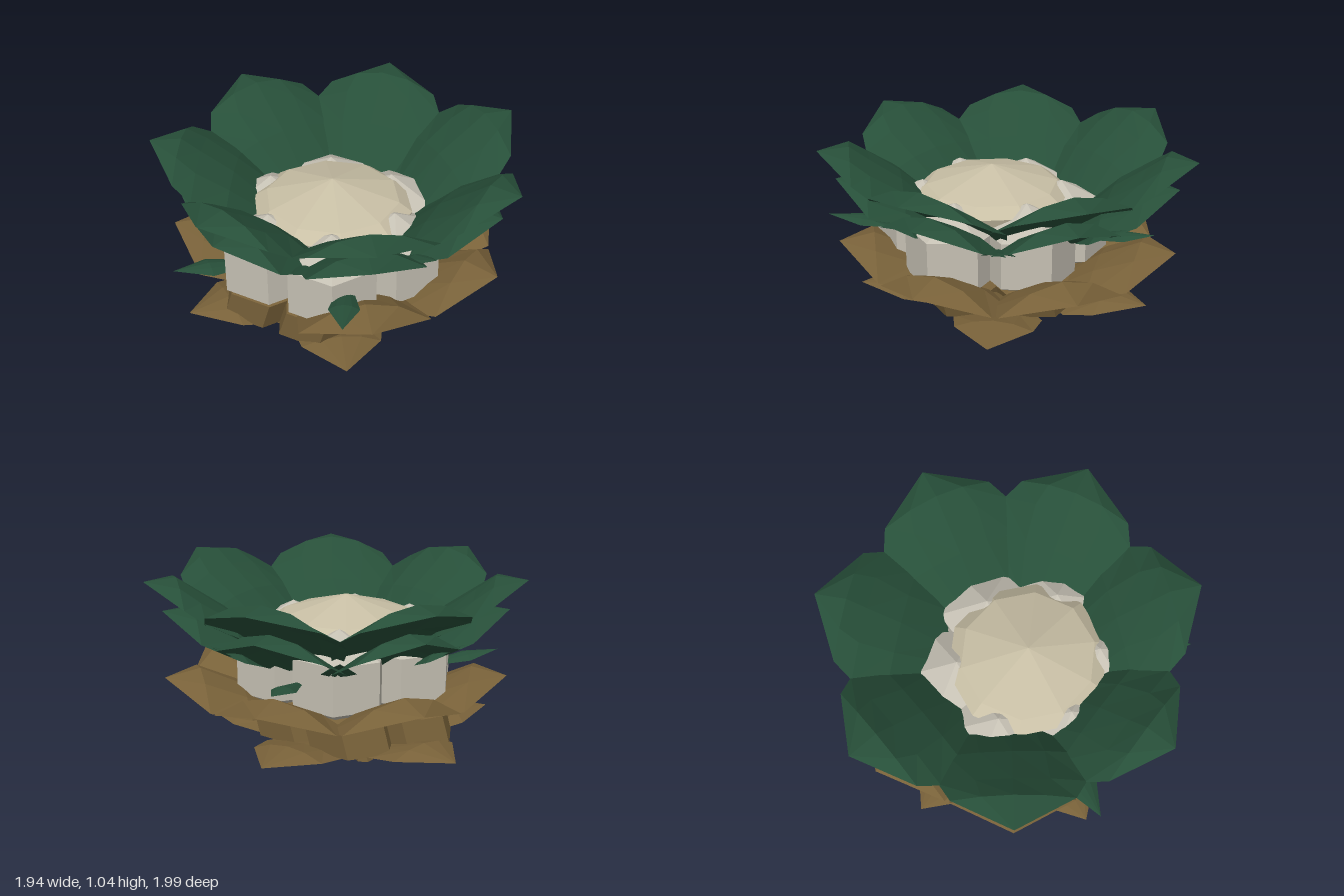
import * as THREE from 'three';

const paint = (color) => new THREE.MeshStandardMaterial({ color, flatShading: true, side: THREE.DoubleSide, roughness: 0.9 });
const GREEN = paint(0x274f39), CREAM = paint(0xc8bfa5), STONE = paint(0xc5c0b3);
const BROWN = paint(0x786139), STEM = paint(0x587a42);
const STEP = (Math.PI * 2) / 7;

// Petal pointing along +x; each row is [radius, height, half width, droop of the sides]
function petalGeometry(rows) {
  const cols = 4, pos = [], index = [];
  rows.forEach(([r, y, w, droop]) => {
    for (let i = 0; i <= cols; i++) {
      const t = (i / cols) * 2 - 1;
      pos.push(r, y - droop * t * t, w * t);
    }
  });
  for (let j = 0; j < rows.length - 1; j++) {
    for (let i = 0; i < cols; i++) {
      const a = j * (cols + 1) + i, b = a + cols + 1;
      index.push(a, a + 1, b, a + 1, b + 1, b);
    }
  }
  const g = new THREE.BufferGeometry();
  g.setAttribute('position', new THREE.Float32BufferAttribute(pos, 3));
  g.setIndex(index);
  g.computeVertexNormals();
  return g;
}

// Ring of petals, each placed at a multiple of one seventh of a turn
function petalRing(name, rows, material, x, z, slots) {
  const ring = new THREE.Group();
  ring.name = name;
  ring.position.set(x, 0, z);
  const geometry = petalGeometry(rows);
  slots.forEach((k) => {
    const petal = new THREE.Mesh(geometry, material);
    petal.name = name + 'Petal';
    petal.rotation.y = -k * STEP;
    ring.add(petal);
  });
  return ring;
}

// Six faceted lobes in a ring, leaning sideways by a shear
function lobeRing(name, material, c, ringR, r, ry, lean) {
  const ring = new THREE.Group();
  ring.name = name;
  ring.position.set(...c);
  for (let i = 0; i < 6; i++) {
    const a = (i * Math.PI) / 3;
    const g = new THREE.SphereGeometry(1, 6, 3);
    g.scale(r / 0.866, ry, r / 0.866);
    g.translate(Math.cos(a) * ringR, 0, Math.sin(a) * ringR);
    g.applyMatrix4(new THREE.Matrix4().makeShear(0, 0, lean, 0, 0, 0));
    const lobe = new THREE.Mesh(g, material);
    lobe.name = name + 'Lobe';
    ring.add(lobe);
  }
  return ring;
}

export function createModel() {
  const model = new THREE.Group();
  model.name = 'flower';
  const add = (name, geometry, material, x, y, z) => {
    const mesh = new THREE.Mesh(geometry, material);
    mesh.name = name;
    mesh.position.set(x, y, z);
    model.add(mesh);
    return mesh;
  };
  const all = [0, 1, 2, 3, 4, 5, 6];

  // Green petals in two layers, with narrow leaves between them
  model.add(petalRing('upperPetals', [[0.36, 0.64, 0.2, 0.01], [0.58, 0.85, 0.33, 0.06],
    [0.75, 0.97, 0.37, 0.09], [0.85, 1.045, 0.31, 0.1], [1.02, 1.03, 0, 0]], GREEN, -0.05, 0, all));
  model.add(petalRing('lowerPetals', [[0.36, 0.58, 0.14, 0.03], [0.55, 0.75, 0.31, 0.1],
    [0.77, 0.88, 0.3, 0.12], [0.93, 0.87, 0, 0]], GREEN, -0.05, 0, all));
  model.add(petalRing('narrowLeaves', [[0.5, 0.6, 0.03, 0], [0.64, 0.7, 0.09, 0.04], [0.82, 0.77, 0, 0]],
    GREEN, -0.05, 0, all.map((k) => k + 0.5)));

  // Small loose green leaves under the petals: [angle, height, length]
  const leaf = petalGeometry([[0.55, 0, 0.03, 0.01], [0.78, 0.05, 0.08, 0.03], [0.97, 0.05, 0, 0]]);
  [[1.1, 0.55, 1], [2.24, 0.46, 1.03], [2.95, 0.4, 0.92], [4.4, 0.54, 0.85]].forEach(([a, y, s]) => {
    const mesh = add('looseLeaf', leaf, GREEN, 0, y, 0);
    mesh.rotation.y = -a;
    mesh.scale.setScalar(s);
  });

  // Pale centre: shallow dome sitting on a ring of lobes
  const dome = [[0, 0.36], [0.25, 0.4], [0.37, 0.55], [0.43, 0.73], [0.36, 0.78], [0, 0.885]];
  add('centreDome', new THREE.LatheGeometry(dome.map(([r, y]) => new THREE.Vector2(r, y)), 10),
    CREAM, -0.045, 0, 0.105);
  model.add(lobeRing('paleRing', STONE, [-0.05, 0.53, 0.11], 0.38, 0.26, 0.26, 0));

  // Brown petals, leaving one gap at the front
  model.add(petalRing('brownPetals', [[0.32, 0.31, 0.15, 0.02], [0.52, 0.44, 0.32, 0.1],
    [0.74, 0.545, 0.34, 0.14], [0.93, 0.505, 0, 0]], BROWN, -0.05, 0, [0, 1, 3, 4, 5, 6]));
  // Five pointed leaves below
  model.add(petalRing('brownBaseLeaves', [[0.3, 0.17, 0.14, 0.01], [0.44, 0.19, 0.24, 0.03],
    [0.6, 0.23, 0.21, 0.05], [0.83, 0.19, 0, 0]], BROWN, -0.11, 0.04, [1.05, 2.45, 3.75, 5.15, 6.55]));

  // Brown underside: leaning lobes and an inverted shallow dome
  model.add(lobeRing('brownRing', BROWN, [-0.12, 0.25, 0.1], 0.345, 0.24, 0.16, 0.32));
  const under = new THREE.LatheGeometry([[0, -0.19], [0.33, -0.13], [0.41, -0.1], [0.4, 0.04], [0, 0.06]]
    .map(([r, y]) => new THREE.Vector2(r, y)), 10);
  under.applyMatrix4(new THREE.Matrix4().makeShear(0, 0, 0.4, 0, 0, 0));
  add('underside', under, BROWN, -0.12, 0.25, 0.1);

  // Stems
  add('greenStem', new THREE.CylinderGeometry(0.065, 0.065, 0.16, 8), STEM, -0.06, 0.08, 0);
  const stalk = new THREE.CylinderGeometry(0.055, 0.055, 0.16, 6);
  stalk.applyMatrix4(new THREE.Matrix4().makeShear(0, 0, 0.35, 0, 0, 0));
  add('brownStalk', stalk, BROWN, -0.22, 0.08, 0);

  // Tuft of spikes where the green stem meets the flower
  for (let i = 0; i < 7; i++) {
    const a = i * STEP;
    const spike = add('stemSpike', new THREE.ConeGeometry(0.02, 0.12, 3), GREEN,
      -0.06 + Math.cos(a) * 0.075, 0.12, Math.sin(a) * 0.075);
    spike.rotation.set(Math.sin(a) * 0.5, 0, -Math.cos(a) * 0.5);
  }
  return model;
}
